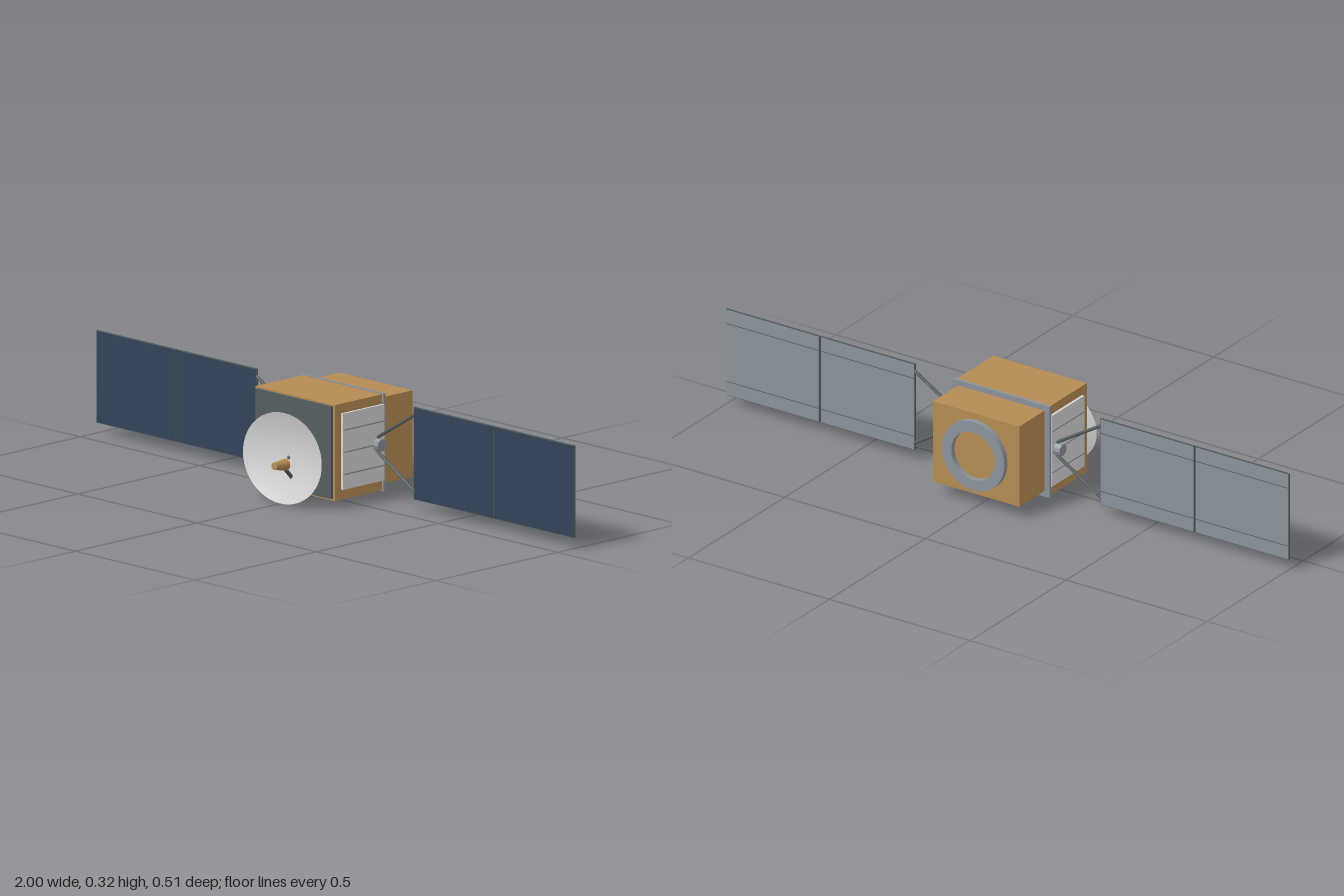
import * as THREE from 'three';

const mat = (name, color, extra = {}) =>
  Object.assign(new THREE.MeshStandardMaterial({ color, ...extra }), { name });

export function createModel() {
  const model = new THREE.Group();
  model.name = 'satellite';
  const gold = mat('gold foil', 0xb58b52, { flatShading: true });
  const grey = mat('grey metal', 0x8b929b, { flatShading: true });
  const dark = mat('dark metal', 0x555d60, { flatShading: true });
  const blue = mat('solar cell blue', 0x32435a);
  const white = mat('white', 0xd4d4d4, { side: THREE.DoubleSide });
  const midY = 0.174;

  const add = (name, geometry, material, parent = model) => {
    const mesh = new THREE.Mesh(geometry, material);
    mesh.name = name;
    parent.add(mesh);
    return mesh;
  };
  // Box given by its limits on each axis
  const box = (name, m, [x0, x1], [y0, y1], [z0, z1], parent) => {
    const mesh = add(name, new THREE.BoxGeometry(x1 - x0, y1 - y0, z1 - z0), m, parent);
    mesh.position.set((x0 + x1) / 2, (y0 + y1) / 2, (z0 + z1) / 2);
    return mesh;
  };
  // Round rod or cone between two points
  const rod = (name, m, a, b, r0, r1, sides, parent) => {
    const p = new THREE.Vector3(...a), q = new THREE.Vector3(...b);
    const d = q.clone().sub(p);
    const mesh = add(name, new THREE.CylinderGeometry(r1, r0, d.length(), sides), m, parent);
    mesh.position.copy(p).add(q).multiplyScalar(0.5);
    mesh.quaternion.setFromUnitVectors(new THREE.Vector3(0, 1, 0), d.normalize());
    return mesh;
  };

  // Body
  box('mainBody', gold, [-0.166, 0.166], [0.029, 0.319], [-0.1, 0.097]);
  box('rearBody', gold, [-0.153, 0.153], [0.044, 0.305], [-0.235, -0.1]);
  box('frontPlate', dark, [-0.158, 0.158], [0.035, 0.314], [0.097, 0.106]);
  box('bodyFlange', grey, [-0.172, 0.172], [0.026, 0.322], [-0.105, -0.096]);

  // Docking ring on the rear
  const ringShape = new THREE.Shape().absarc(0, 0, 0.111, 0, Math.PI * 2);
  ringShape.holes.push(new THREE.Path().absarc(0, 0, 0.077, 0, Math.PI * 2, true));
  add('rearRing', new THREE.ExtrudeGeometry(ringShape,
    { depth: 0.018, bevelEnabled: false, curveSegments: 32 }), grey)
    .position.set(0, midY, -0.252);

  // Each side: radiator, hub, struts and solar wing
  for (const s of [1, -1]) {
    const side = new THREE.Group();
    side.name = s > 0 ? 'leftSide' : 'rightSide';
    model.add(side);
    const span = (a, b) => (s > 0 ? [a, b] : [-b, -a]);

    box('radiator', white, span(0.16, 0.174), [0.06, 0.29], [-0.098, 0.072], side);
    for (const y of [0.107, midY, 0.241])
      box('radiatorRib', grey, span(0.172, 0.178), [y - 0.002, y + 0.002], [-0.098, 0.07], side);
    rod('wingHub', grey, [s * 0.165, midY, -0.07], [s * 0.195, midY, -0.07], 0.021, 0.019, 10, side);

    for (const v of [1, -1])
      rod('wingStrut', dark, [s * 0.172, midY + v * 0.02, -0.07],
        [s * 0.333, midY + v * 0.118, -0.07], 0.005, 0.005, 8, side);

    for (const [x0, x1] of [[0.329, 0.663], [0.667, 1]]) {
      const panel = new THREE.Group();
      panel.name = 'solarPanel';
      side.add(panel);
      box('panelCore', dark, span(x0, x1), [0.035, 0.314], [-0.073, -0.067], panel);
      box('solarCells', blue, span(x0 + 0.002, x1 - 0.002), [0.037, 0.312], [-0.067, -0.0655], panel);
      box('panelBack', grey, span(x0 + 0.002, x1 - 0.002), [0.037, 0.312], [-0.0745, -0.073], panel);
      for (const y of [0.08, 0.268])
        box('panelBackLine', dark, span(x0 + 0.002, x1 - 0.002),
          [y - 0.001, y + 0.001], [-0.0755, -0.0745], panel);
    }
  }

  // Oval dish, tilted slightly upward
  const profile = [];
  for (let i = 0; i <= 10; i++) {
    const r = i / 10;
    profile.push(new THREE.Vector2(r, 0.027 * r * r));
  }
  const dishGeometry = new THREE.LatheGeometry(profile, 40);
  dishGeometry.rotateX(Math.PI / 2);
  dishGeometry.scale(0.165, 0.1355, 1);
  const dish = add('dish', dishGeometry, white);
  dish.position.set(0, 0.137, 0.123);
  dish.rotation.x = -0.067;

  // Dish mount, feed arm and feed horn
  rod('dishMount', dark, [0, 0.126, 0.103], [0, 0.138, 0.126], 0.005, 0.005, 8);
  rod('feedArm', dark, [0, 0.066, 0.103], [0.066, 0.134, 0.21], 0.006, 0.006, 8);
  rod('feedHorn', gold, [0.066, 0.14, 0.201], [0.07, 0.144, 0.252], 0.018, 0.011, 16);

  return model;
}
